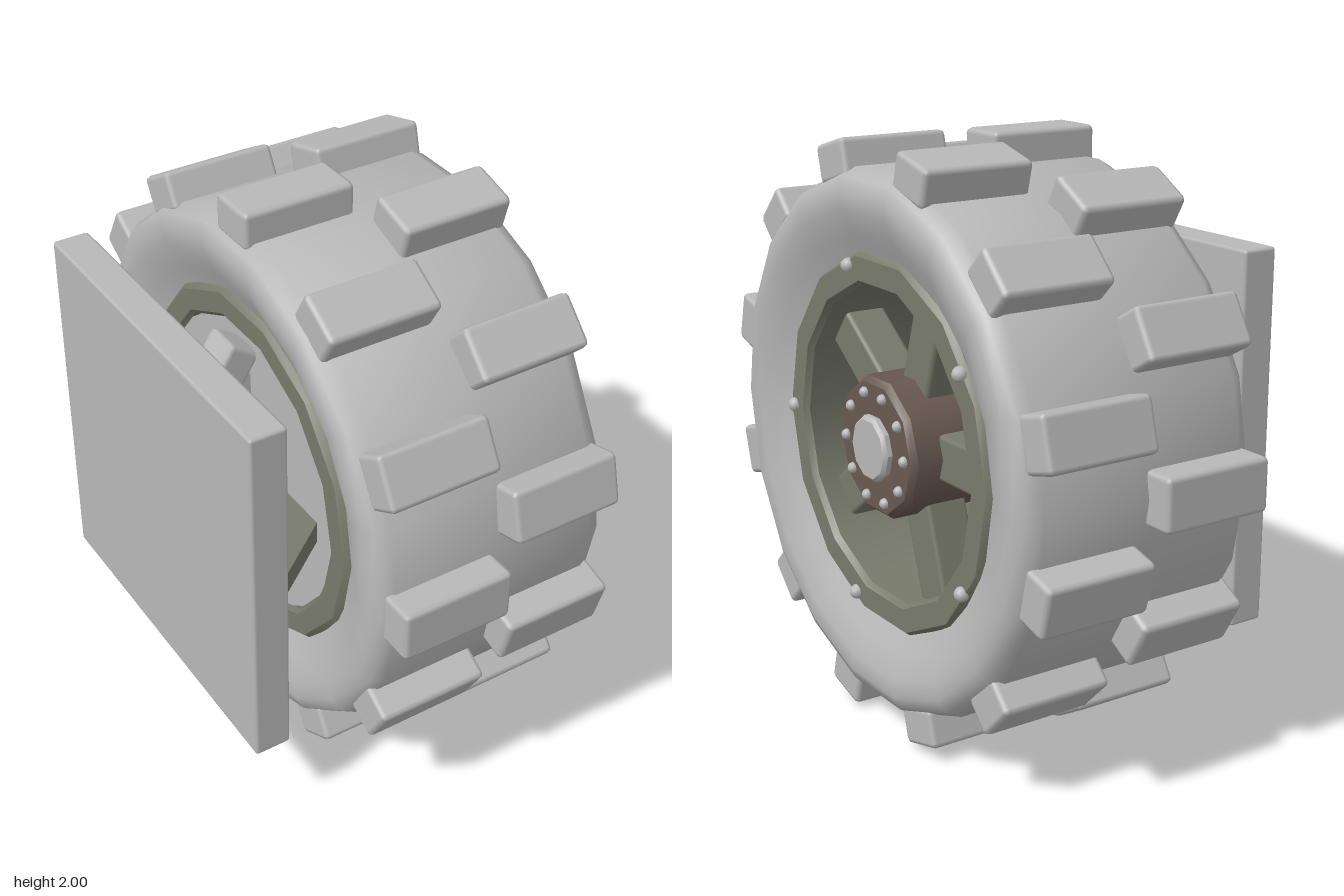
import * as THREE from 'three';
import { toCreasedNormals } from 'three/addons/utils/BufferGeometryUtils.js';
import { RoundedBoxGeometry } from 'three/addons/geometries/RoundedBoxGeometry.js';

const paint = (name, color) => {
  const m = new THREE.MeshStandardMaterial({ color });
  m.name = name;
  return m;
};

export function createModel() {
  const grey = paint('light grey', 0xb8b8b8);
  const olive = paint('olive grey', 0x777a6b);
  const brown = paint('dark brown', 0x685951);
  const gold = paint('gold', 0xdaa325);

  const model = new THREE.Group();
  model.name = 'wheelAssembly';
  // everything is built around the axle, which runs along x at y = 1
  const wheel = new THREE.Group();
  wheel.name = 'wheel';
  wheel.position.y = 1;
  model.add(wheel);

  const add = (name, geometry, material, x = 0, y = 0, z = 0) => {
    const mesh = new THREE.Mesh(geometry, material);
    mesh.name = name;
    mesh.position.set(x, y, z);
    wheel.add(mesh);
    return mesh;
  };
  // profile points are [radius, x]; run so that the outside is swept towards +x
  const turned = (profile, sides, crease = 0.6) => {
    const g = new THREE.LatheGeometry(profile.map(([r, x]) => new THREE.Vector2(r, x)), sides);
    g.rotateZ(-Math.PI / 2);
    return toCreasedNormals(g, crease);
  };
  // angle is measured from -z towards +y
  const radial = (name, geometry, material, x, r, angle) => {
    const mesh = add(name, geometry, material, x, r * Math.sin(angle), -r * Math.cos(angle));
    mesh.rotation.x = angle;
    return mesh;
  };

  // tyre with dished sidewalls
  add('tyre', turned([
    [0.62, -0.21], [0.7, -0.25], [0.78, -0.285], [0.84, -0.29], [0.885, -0.275], [0.91, -0.23],
    [0.91, 0.51], [0.885, 0.56], [0.84, 0.58], [0.78, 0.575], [0.7, 0.54], [0.62, 0.5],
  ], 18, 0.9), grey);

  // two staggered rows of tread blocks
  const block = new RoundedBoxGeometry(0.395, 0.18, 0.13, 1, 0.018);
  for (let i = 0; i < 24; i++) {
    radial('treadBlock', block, grey, i % 2 ? 0.352 : -0.065, 0.935, (i * Math.PI) / 12);
  }

  // rim: flanges and barrel
  add('rim', turned([
    [0.53, -0.22], [0.545, -0.235], [0.62, -0.235], [0.64, -0.215], [0.64, 0.505],
    [0.625, 0.525], [0.545, 0.525], [0.53, 0.505], [0.53, -0.22],
  ], 14), olive);

  // spokes and rim bolts
  const spoke = new RoundedBoxGeometry(0.15, 0.155, 0.38, 1, 0.015);
  const rimBolt = new THREE.SphereGeometry(0.026, 10, 8);
  for (let i = 0; i < 5; i++) {
    const a = (i * Math.PI * 2) / 5;
    radial('spoke', spoke, olive, 0.36, 0.37, a);
    radial('rimBolt', rimBolt, grey, 0.525, 0.6, a + Math.PI / 5);
  }

  // hub with its bolts and centre cap
  add('hub', turned([
    [0, -0.1], [0.22, -0.1], [0.24, -0.08], [0.24, 0.525], [0.222, 0.545], [0, 0.545],
  ], 10, 0.7), brown);
  const hubBolt = new THREE.SphereGeometry(0.019, 10, 8);
  for (let i = 0; i < 10; i++) {
    radial('hubBolt', hubBolt, grey, 0.547, 0.185, (i * Math.PI) / 5);
  }
  add('hubCap', turned([[0, 0.5], [0.112, 0.5], [0.112, 0.562], [0.1, 0.574], [0, 0.574]], 10), grey);

  // brake disc and caliper
  add('brakeDisc', turned([[0, -0.22], [0.525, -0.22], [0.525, -0.18], [0, -0.18]], 24), grey);
  add('caliper', new RoundedBoxGeometry(0.2, 0.25, 0.16, 1, 0.025), gold, -0.18, 0, -0.44);
  for (const y of [-0.08, 0.08]) {
    add('caliperBolt', new THREE.SphereGeometry(0.024, 10, 8), grey, -0.08, y, -0.49);
  }

  // axle
  add('axle', turned([[0, -0.47], [0.172, -0.47], [0.172, -0.05], [0, -0.05]], 16), olive);

  // mounting plate
  add('mountingPlate', new RoundedBoxGeometry(0.13, 1.29, 1.29, 1, 0.012), grey, -0.515);

  // tapered gussets from the plate into the hub
  const gusset = (wide, narrow, thickness) => {
    const s = new THREE.Shape();
    s.moveTo(-0.46, -wide);
    s.lineTo(-0.14, -narrow);
    s.lineTo(-0.14, narrow);
    s.lineTo(-0.46, wide);
    const g = new THREE.ExtrudeGeometry(s, { depth: thickness, bevelEnabled: false });
    return g.translate(0, 0, -thickness / 2);
  };
  add('uprightGusset', gusset(0.573, 0.31, 0.06), grey);
  add('levelGusset', gusset(0.62, 0.375, 0.08).rotateX(Math.PI / 2), olive);

  // slanted bracket on the upright gusset
  const bracket = add('slantedBracket', new RoundedBoxGeometry(0.29, 0.125, 0.14, 1, 0.02), grey, -0.33, 0.385, 0);
  bracket.rotation.z = 1.0;

  return model;
}
